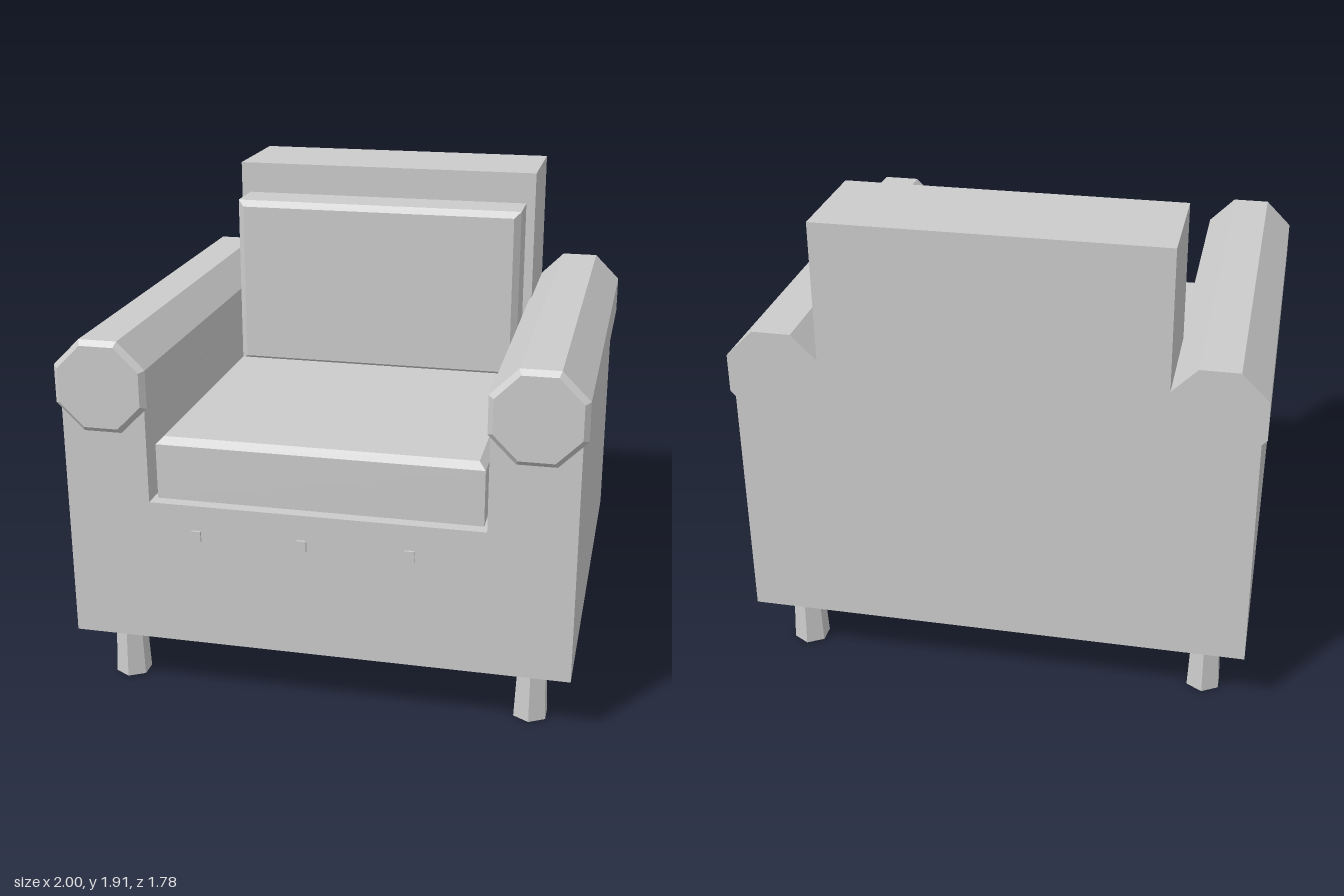
import * as THREE from 'three';

const material = new THREE.MeshStandardMaterial({ color: 0xcccccc, flatShading: true });
const openMaterial = new THREE.MeshStandardMaterial({ color: 0xcccccc, flatShading: true, side: THREE.DoubleSide });

// Counter-clockwise outlines in the xy plane
const rect = (hw, hh) => [[hw, -hh], [hw, hh], [-hw, hh], [-hw, -hh]];
const octagon = (apothem) => Array.from({ length: 8 }, (_, i) => {
  const a = (i + 0.5) * Math.PI / 4, r = apothem / Math.cos(Math.PI / 8);
  return [Math.cos(a) * r, Math.sin(a) * r];
});

// Joins outlines stacked along z ([z, outline], back to front) into a capped solid
function loft(layers) {
  const n = layers[0][1].length, positions = [];
  const put = (layer, i) => positions.push(...layer[1][i % n], layer[0]);
  for (let k = 0; k < layers.length - 1; k++) {
    const a = layers[k], b = layers[k + 1];
    for (let i = 0; i < n; i++) {
      put(a, i); put(a, i + 1); put(b, i + 1);
      put(a, i); put(b, i + 1); put(b, i);
    }
  }
  const back = layers[0], front = layers[layers.length - 1];
  for (let i = 1; i < n - 1; i++) {
    put(back, 0); put(back, i + 1); put(back, i);
    put(front, 0); put(front, i); put(front, i + 1);
  }
  const geometry = new THREE.BufferGeometry();
  geometry.setAttribute('position', new THREE.Float32BufferAttribute(positions, 3));
  geometry.computeVertexNormals();
  return geometry;
}

export function createModel() {
  const chair = new THREE.Group();
  chair.name = 'armchair';
  const add = (name, geometry, x, y, z, mat = material) => {
    const mesh = new THREE.Mesh(geometry, mat);
    mesh.name = name;
    mesh.position.set(x, y, z);
    chair.add(mesh);
    return mesh;
  };

  // U-shaped body: base and both arm walls
  const outline = [[-0.98, 0.25], [0.98, 0.25], [0.98, 1.285], [0.65, 1.285],
    [0.65, 0.83], [-0.65, 0.83], [-0.65, 1.285], [-0.98, 1.285]];
  const shape = new THREE.Shape(outline.map(([x, y]) => new THREE.Vector2(x, y)));
  add('body', new THREE.ExtrudeGeometry(shape, { depth: 1.76, bevelEnabled: false }), 0, 0, -0.89);

  // Backrest block
  add('backrest', new THREE.BoxGeometry(1.3, 1.08, 0.45), 0, 1.37, -0.665);

  // Cushions, each chamfered around its exposed face
  const seat = loft([[0, rect(0.632, 0.63)], [0.22, rect(0.632, 0.63)], [0.245, rect(0.605, 0.6)]]);
  add('seatCushion', seat.rotateX(-Math.PI / 2), 0, 0.83, 0.19);
  add('backCushion', loft([[-0.44, rect(0.612, 0.36)], [-0.26, rect(0.612, 0.36)],
    [-0.235, rect(0.585, 0.335)]]), 0, 1.42, 0);

  // Octagonal arm rolls with a chamfered front end
  const roll = loft([[-0.89, octagon(0.18)], [0.87, octagon(0.18)], [0.89, octagon(0.16)]]);
  add('leftArmRoll', roll, 0.82, 1.285, 0);
  add('rightArmRoll', roll, -0.82, 1.285, 0);

  // Small buttons along the front panel
  for (const x of [-0.465, -0.05, 0.365]) {
    add('frontButton', new THREE.BoxGeometry(0.037, 0.042, 0.03), x, 0.708, 0.865);
  }

  // Six-sided legs, flaring towards the floor and open below
  const leg = new THREE.CylinderGeometry(0.06, 0.072, 0.25, 6, 1, true);
  for (const x of [-0.82, 0.82]) {
    add('frontLeg', leg, x, 0.125, 0.7, openMaterial);
    add('backLeg', leg, x, 0.125, -0.727, openMaterial);
  }
  return chair;
}
